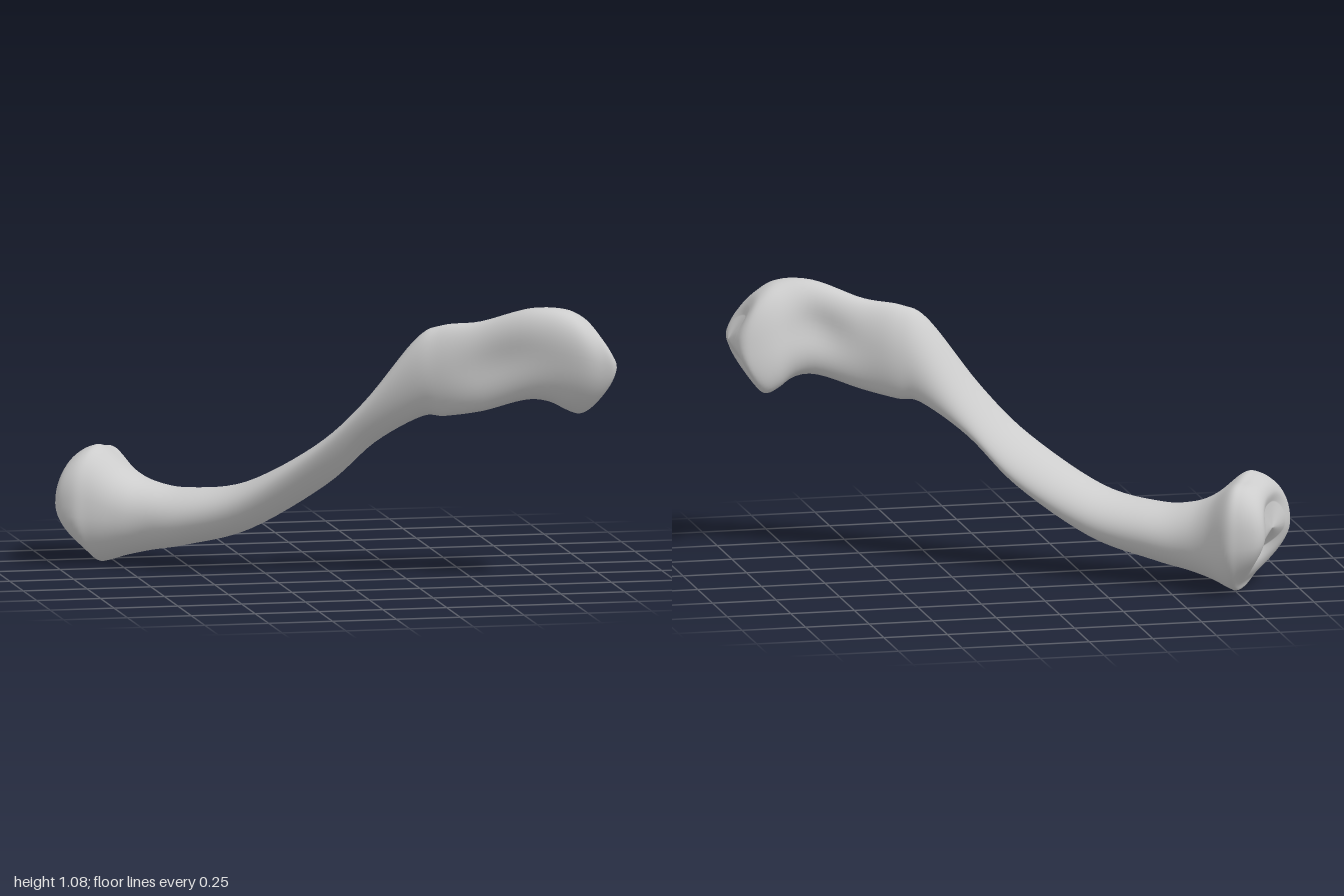
import * as THREE from 'three';

// Cross-sections along the bone's length u: [u, back v, front v, bottom y, top y]
const SECTIONS = [
  [-1.038, -0.1, 0.14, 0.15, 0.34],
  [-1.045, -0.15, 0.185, 0.1, 0.38],
  [-1.02, -0.185, 0.22, 0.05, 0.42],
  [-0.96, -0.205, 0.235, 0.015, 0.45],
  [-0.9, -0.205, 0.22, 0, 0.45],
  [-0.8, -0.14, 0.195, 0.03, 0.365],
  [-0.7, -0.105, 0.185, 0.055, 0.32],
  [-0.55, -0.085, 0.198, 0.085, 0.305],
  [-0.3, -0.05, 0.205, 0.157, 0.347],
  [0, -0.01, 0.205, 0.34, 0.51],
  [0.2, 0.012, 0.205, 0.515, 0.69],
  [0.4, 0.02, 0.2, 0.63, 0.94],
  [0.5, 0.02, 0.185, 0.638, 0.995],
  [0.65, 0.025, 0.172, 0.665, 1.015],
  [0.85, -0.015, 0.175, 0.718, 1.075],
  [1, -0.09, 0.147, 0.675, 1.07],
  [1.08, -0.125, 0.093, 0.655, 1.035],
  [1.12, -0.125, 0.067, 0.7, 0.985],
  [1.14, -0.09, 0.04, 0.76, 0.94],
];
const RING = 56, STEPS = 6, LAST = SECTIONS.length - 1;
const { smoothstep } = THREE.MathUtils;

// Smooth interpolation of every column between neighbouring sections
function sectionAt(t) {
  const i = Math.min(Math.floor(t), LAST - 1), f = t - i;
  const at = (k) => SECTIONS[THREE.MathUtils.clamp(k, 0, LAST)];
  return at(i).map((b, c) => {
    const a = at(i - 1)[c], d = at(i + 1)[c], e = at(i + 2)[c];
    return b + 0.5 * f * (d - a + f * (2 * a - 5 * b + 4 * d - e + f * (3 * (b - d) + e - a)));
  });
}

const rounded = (value, power) => Math.sign(value) * Math.pow(Math.abs(value), power);
const bump = (x, centre, width) => Math.exp(-(((x - centre) / width) ** 2));

// One ring of the surface; size 0 closes an end, shift moves it along the bone
function addRing(positions, [u0, back, front, bottom, top], size = 1, shift = 0) {
  const vMid = (back + front) / 2, yMid = (bottom + top) / 2;
  const half = (front - back) / 2, height = (top - bottom) / 2;
  // The rising shaft and the outer blade lean forward; the outer end is slanted
  const lean = 0.65 * bump(u0, 0.1, 0.4) + 0.3 * smoothstep(u0, 0.65, 1);
  const skew = 0.6 * smoothstep(u0, 0.7, 1.1);
  // The inner head is squarish, the outer blade slightly so, the shaft round
  const power = 1 - 0.2 * bump(u0, -1, 0.2) - 0.11 * smoothstep(u0, 0.4, 0.7);
  const inner = smoothstep(-u0, 0.88, 1.03), outer = smoothstep(u0, 0.9, 1.1);
  for (let j = 0; j < RING; j++) {
    const angle = (j / RING) * Math.PI * 2;
    const c = rounded(Math.cos(angle), power), s = rounded(Math.sin(angle), power);
    let dv = half * (Math.sqrt(1 - lean * lean) * c + lean * s);
    let dy = height * s;
    // Shallow hollows on both sides of the blade
    if (c < 0) dv += 0.03 * bump(u0, 0.8, 0.13) * bump(s, 0.1, 0.5);
    if (c > 0) dv -= 0.02 * bump(u0, 0.75, 0.15) * bump(s, 0, 0.5);
    // Inner head: saddle between its top corners, narrower below
    if (s > 0) dy -= 0.02 * bump(u0, -0.92, 0.08) * bump(c, -0.25, 0.3);
    else dv *= 1 - 0.15 * s * s * bump(u0, -1, 0.15);
    // Both end faces fall back towards their upper and lower rims
    const recede = s * s * (inner * (s < 0 ? 0.085 : 0.025) - outer * 0.065);
    const u = u0 + shift + (skew * dv + recede) * size, v = vMid + dv * size;
    positions.push(0.86 * u - 0.51 * v, yMid + dy * size, 0.51 * u + 0.86 * v);
  }
}

function boneGeometry() {
  const positions = [], index = [];
  // Slightly hollow joint face on the inner end
  addRing(positions, SECTIONS[0], 0, 0.012);
  addRing(positions, SECTIONS[0], 0.5, 0.007);
  for (let k = 0; k <= LAST * STEPS; k++) addRing(positions, sectionAt(k / STEPS));
  // Gently domed outer end
  addRing(positions, SECTIONS[LAST], 0.5, 0.006);
  addRing(positions, SECTIONS[LAST], 0, 0.008);

  const rings = positions.length / 3 / RING;
  for (let i = 0; i < rings - 1; i++) {
    for (let j = 0; j < RING; j++) {
      const p = i * RING + j, q = i * RING + ((j + 1) % RING);
      if (i < rings - 2) index.push(p, p + RING, q + RING);
      if (i > 0) index.push(p, q + RING, q);
    }
  }
  const geometry = new THREE.BufferGeometry();
  geometry.setAttribute('position', new THREE.Float32BufferAttribute(positions, 3));
  geometry.setIndex(index);
  geometry.computeVertexNormals();
  return geometry;
}

export function createModel() {
  const group = new THREE.Group();
  group.name = 'collarbone';
  const boneGrey = new THREE.MeshStandardMaterial({ color: 0xcccccc });
  boneGrey.name = 'bone grey';
  const bone = new THREE.Mesh(boneGeometry(), boneGrey);
  bone.name = 'bone';
  group.add(bone);
  return group;
}
